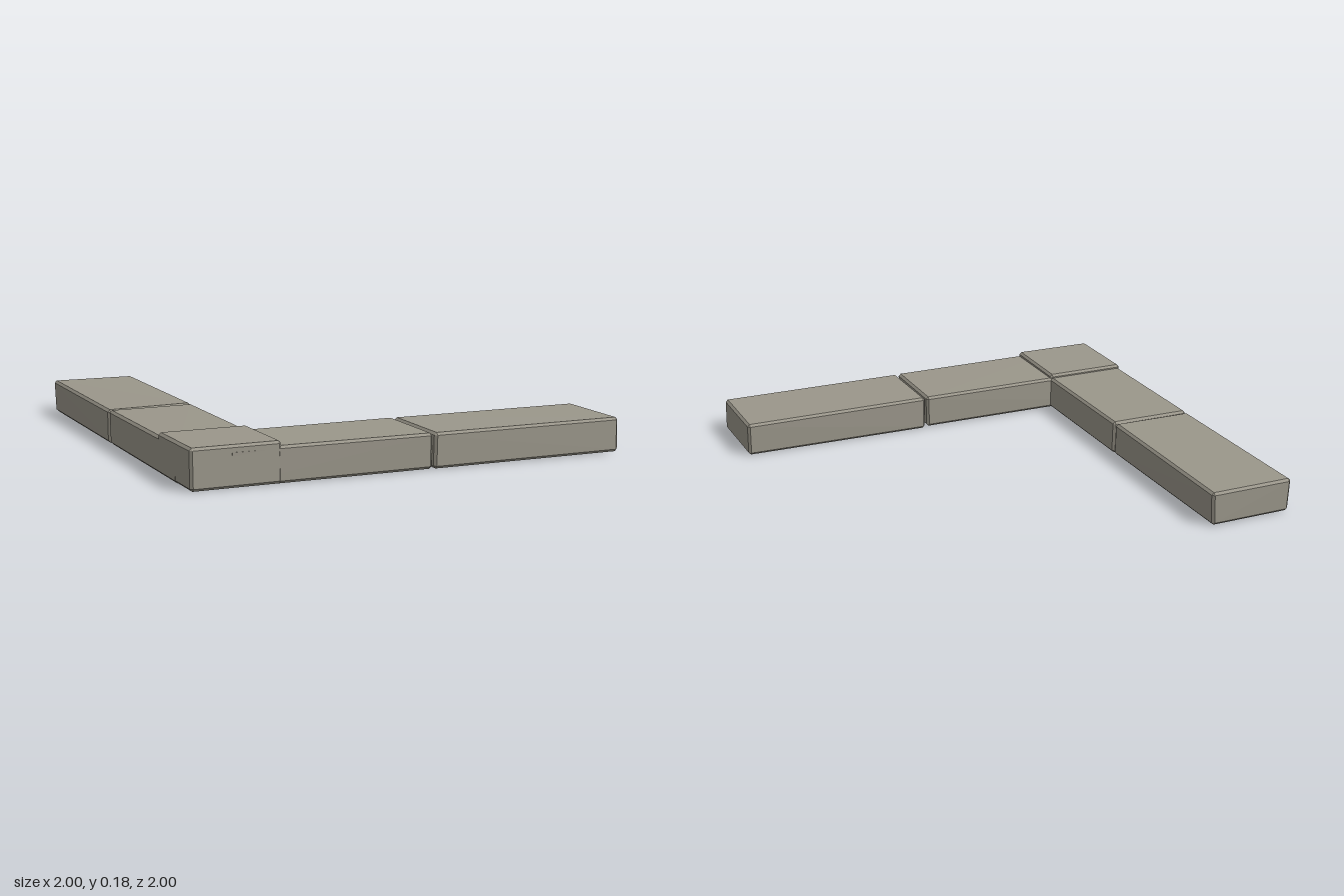
import * as THREE from 'three';
import { ConvexGeometry } from 'three/addons/geometries/ConvexGeometry.js';

const stone = new THREE.MeshStandardMaterial({ color: 0x9b978b });
stone.name = 'warm grey stone';

// small seeded generator for the hand-cut unevenness
let seed = 7;
function rand() {
  seed = (seed * 16807) % 2147483647;
  return seed / 2147483647;
}

// stone block with narrow chamfers and slightly uneven corners
function block(name, min, max, chamfer = 0.011, wobble = 0.005) {
  const points = [];
  for (let corner = 0; corner < 8; corner++) {
    const high = [corner & 1, corner & 2, corner & 4];
    const shift = [rand() * wobble, rand() * wobble, rand() * wobble];
    // each corner becomes three points, one on each neighbouring face
    for (let face = 0; face < 3; face++) {
      const p = [0, 1, 2].map((axis) => {
        const inset = shift[axis] + (axis === face ? 0 : chamfer);
        return high[axis] ? max[axis] - inset : min[axis] + inset;
      });
      points.push(new THREE.Vector3(...p));
    }
  }
  const mesh = new THREE.Mesh(new ConvexGeometry(points), stone);
  mesh.name = name;
  return mesh;
}

export function createModel() {
  const group = new THREE.Group();
  group.name = 'cornerKerb';

  // taller corner stone
  group.add(block('cornerStone', [-1, 0, 0.6], [-0.6, 0.18, 1]));

  // arm along the front, inner stone tucked into the corner
  group.add(block('frontInnerStone', [-0.83, 0, 0.6], [0.083, 0.16, 1]));
  group.add(block('frontOuterStone', [0.087, 0, 0.6], [1, 0.16, 1]));

  // arm along the side, running to the back
  group.add(block('sideInnerStone', [-1, 0, -0.083], [-0.6, 0.16, 0.83]));
  group.add(block('sideOuterStone', [-1, 0, -1], [-0.6, 0.16, -0.09]));

  return group;
}
